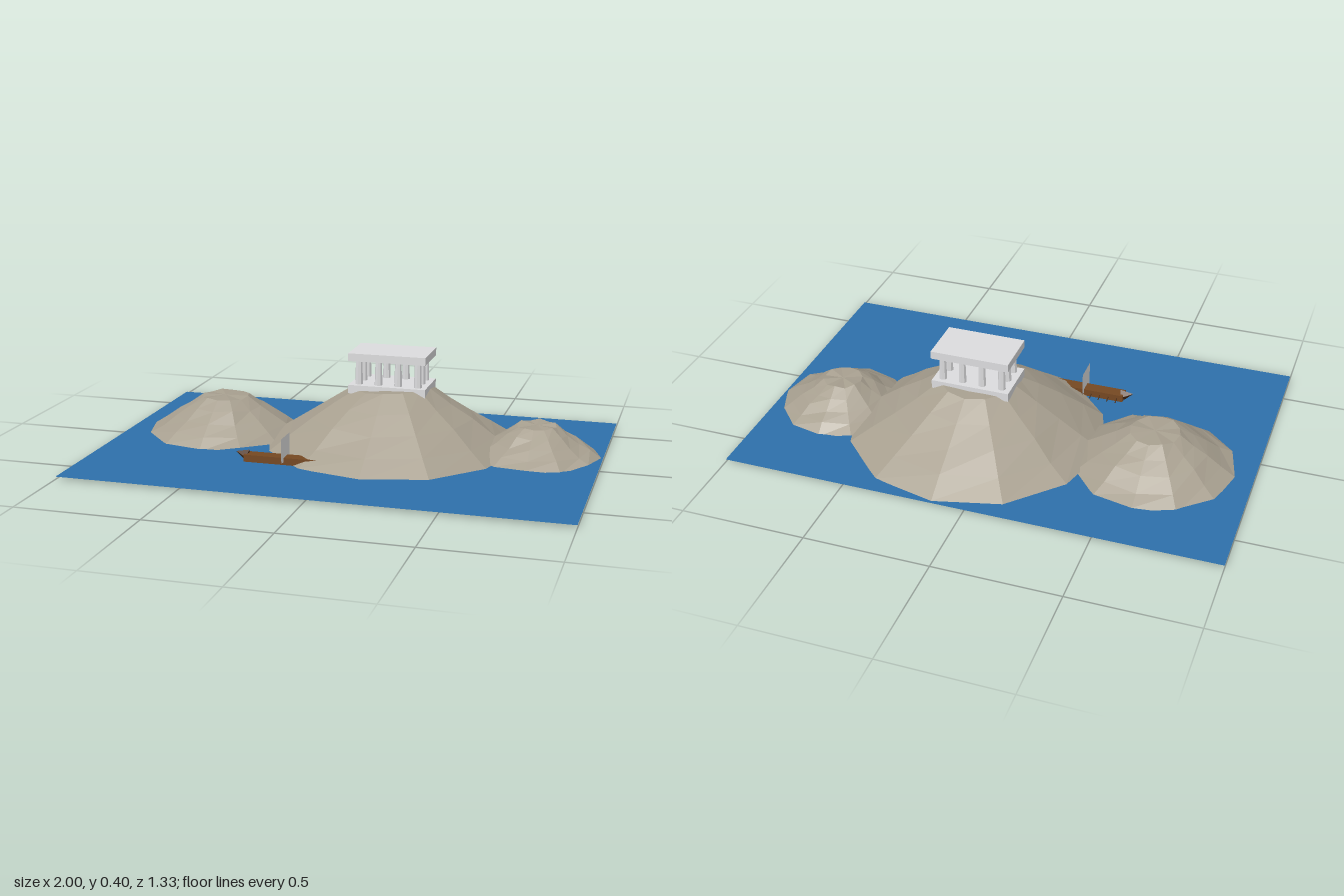
import * as THREE from 'three';

const mat = (name, color, extra = {}) => {
  const m = new THREE.MeshStandardMaterial({ color, flatShading: true, ...extra });
  m.name = name;
  return m;
};

// Repeatable noise in -1..1 from a position, so shared corners move together
function noise(x, y, z) {
  const r = (v) => Math.round(v * 1000);
  const s = Math.sin(r(x) * 12.9898 + r(y) * 78.233 + r(z) * 37.719) * 43758.5453;
  return 2 * (s - Math.floor(s)) - 1;
}

export function createModel() {
  const rock = mat('rock', 0xa8a090);
  const water = mat('water', 0x2e70aa, { side: THREE.DoubleSide });
  const marble = mat('marble', 0xdcdcde);
  const wood = mat('wood', 0x754822);
  const darkWood = mat('dark wood', 0x4f3018);
  const cloth = mat('cloth', 0xe0e0e0, { side: THREE.DoubleSide });
  const SEA = 0.012;
  const Z = -0.135; // line on which the hills and temple stand

  const model = new THREE.Group();
  model.name = 'islandTemple';
  const add = (parent, name, geometry, material, x, y, z) => {
    const mesh = new THREE.Mesh(geometry, material);
    mesh.name = name;
    mesh.position.set(x, y, z);
    parent.add(mesh);
    return mesh;
  };

  // Sea sheet
  add(model, 'sea', new THREE.PlaneGeometry(2, 1.333).rotateX(-Math.PI / 2), water, 0, SEA, 0);

  // Rough twelve-sided hills with flat tops
  const addHill = (name, x, topRadius, baseRadius, height) => {
    const geo = new THREE.CylinderGeometry(topRadius, baseRadius, height, 12, 4);
    geo.translate(0, height / 2, 0);
    const p = geo.attributes.position;
    for (let i = 0; i < p.count; i++) {
      const [a, b, c] = [p.getX(i), p.getY(i), p.getZ(i)];
      const n = noise(a, b, c);
      const amount = b < 0.001 ? 0.011 : 0.006;
      p.setY(i, b + n * amount);
    }
    geo.computeVertexNormals();
    add(model, name, geo, rock, x, SEA, Z);
  };
  addHill('mainHill', 0.13, 0.155, 0.525, 0.242);
  addHill('rightHill', -0.6, 0.1, 0.325, 0.15);
  addHill('leftHill', 0.73, 0.08, 0.262, 0.12);

  // Temple: two slabs with a ring of tapered columns between
  const temple = new THREE.Group();
  temple.name = 'temple';
  temple.position.set(0.13, 0, Z);
  model.add(temple);
  add(temple, 'templeBase', new THREE.BoxGeometry(0.32, 0.035, 0.2), marble, 0, 0.2525, 0);
  add(temple, 'templeRoof', new THREE.BoxGeometry(0.32, 0.032, 0.2), marble, 0, 0.386, 0);
  const columnGeo = new THREE.CylinderGeometry(0.0135, 0.0165, 0.1, 8);
  for (let i = 0; i < 4; i++) {
    for (let j = 0; j < 3; j++) {
      if (j === 1 && i > 0 && i < 3) continue;
      add(temple, 'column', columnGeo, marble, (i - 1.5) * 0.082, 0.32, (j - 1) * 0.067);
    }
  }

  // Boat run up against the main hill
  const boat = new THREE.Group();
  boat.name = 'boat';
  boat.position.set(-0.22, 0, 0.263);
  model.add(boat);
  add(boat, 'hull', new THREE.BoxGeometry(0.3, 0.03, 0.052), wood, 0, 0.026, 0);
  const prow = add(boat, 'prow', new THREE.ConeGeometry(0.026, 0.05, 4), darkWood, -0.165, 0.038, 0);
  prow.rotation.z = Math.PI / 2 - 0.3;
  add(boat, 'sail', new THREE.PlaneGeometry(0.105, 0.1).rotateY(Math.PI / 2), cloth, 0.018, 0.075, 0.003);

  // Oars on the far side
  const oarGeo = new THREE.CylinderGeometry(0.0025, 0.0025, 0.04, 5);
  for (let i = 0; i < 5; i++) {
    const oar = add(boat, 'oar', oarGeo, darkWood, -0.125 + i * 0.037, 0.024, -0.03);
    oar.rotation.x = Math.PI / 2 - 0.25;
  }

  return model;
}
